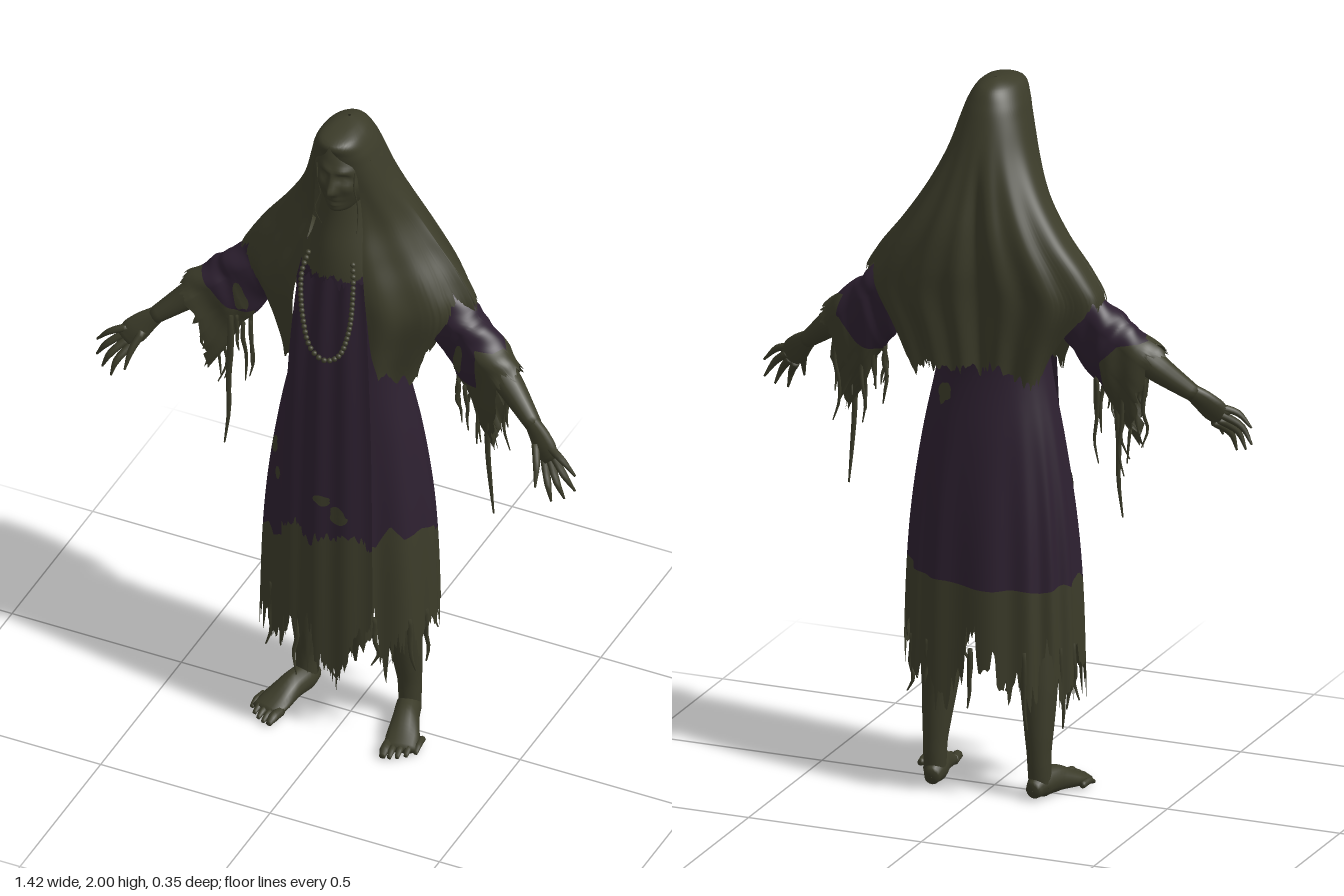
import * as THREE from 'three';

const mat = (name, color) => {
  const m = new THREE.MeshStandardMaterial({ color, side: THREE.DoubleSide });
  m.name = name;
  return m;
};
const V = (x, y, z) => new THREE.Vector3(x, y, z);
const { lerp, smoothstep } = THREE.MathUtils;

// Repeatable noise in -1..1
const hash = n => { const s = Math.sin(n * 127.1 + 11.7) * 43758.5453; return (s - Math.floor(s)) * 2 - 1; };
const noise = x => { const i = Math.floor(x); return lerp(hash(i), hash(i + 1), x - i); };
// Ragged edge: broad tatters with fine teeth
const ragged = x => 0.5 * noise(x) + 0.3 * noise(x * 3.1 + 40) + 0.3 * noise(x * 9.7 + 90);

// Smooth lookup in rows of [key, values...] sorted by falling key
function look(table, key, c) {
  const n = table.length - 1;
  const slope = i => {
    const a = table[Math.max(i - 1, 0)], b = table[Math.min(i + 1, n)];
    return (b[c] - a[c]) / (b[0] - a[0]);
  };
  let i = 0;
  while (i < n - 1 && key < table[i + 1][0]) i++;
  const a = table[i], b = table[i + 1], h = b[0] - a[0];
  const t = Math.min(1, Math.max(0, (key - a[0]) / h)), t2 = t * t, t3 = t2 * t;
  return (2 * t3 - 3 * t2 + 1) * a[c] + (t3 - 2 * t2 + t) * h * slope(i)
    + (3 * t2 - 2 * t3) * b[c] + (t3 - t2) * h * slope(i + 1);
}

// Surface from f(u, v), optionally joined around u
function grid(f, nu, nv, closed = false) {
  const cols = closed ? nu : nu + 1, pos = [], idx = [];
  for (let j = 0; j <= nv; j++)
    for (let i = 0; i < cols; i++) pos.push(...f(i / nu, j / nv).toArray());
  for (let j = 0; j < nv; j++)
    for (let i = 0; i < nu; i++) {
      const k = (i + 1) % cols, a = j * cols + i, b = j * cols + k, c = a + cols, d = b + cols;
      idx.push(a, c, b, b, c, d);
    }
  const g = new THREE.BufferGeometry();
  g.setAttribute('position', new THREE.Float32BufferAttribute(pos, 3));
  g.setIndex(idx);
  g.computeVertexNormals();
  return g;
}

// Limb swept along points, each with [sideRadius, upRadius], closed at the ends
function sweep(points, radii, sides = 12, rows = 16, ref = V(0, 0, 1)) {
  const curve = new THREE.CatmullRomCurve3(points), n = points.length - 1;
  return grid((u, v) => {
    const t = Math.min(1, Math.max(0, (v * (rows + 2) - 1) / rows));
    const k = Math.min(n - 1, Math.floor(t * n)), f = t * n - k;
    const cap = v === 0 || v === 1 ? 0.05 : 1;
    const ra = lerp(radii[k][0], radii[k + 1][0], f) * cap, rb = lerp(radii[k][1], radii[k + 1][1], f) * cap;
    const tan = curve.getTangent(t), side = V().crossVectors(ref, tan).normalize();
    const up = V().crossVectors(tan, side), a = u * Math.PI * 2;
    return curve.getPoint(t).addScaledVector(side, Math.cos(a) * ra).addScaledVector(up, Math.sin(a) * rb);
  }, sides, rows + 2, true);
}

// y, half width, front z, back z
const BODY = [[1.8, .062, .07, -.06], [1.7, .078, .088, -.07], [1.6, .102, .115, -.1], [1.5, .14, .125, -.12],
  [1.3, .145, .12, -.11], [1.2, .155, .11, -.105], [1, .195, .118, -.13], [.8, .222, .132, -.15],
  [.6, .235, .142, -.16], [.2, .245, .155, -.17]];
// y, half width, front z, back z, half opening
const VEIL = [[2, .004, .012, .004, 0], [1.994, .03, .075, -.02, 0], [1.978, .056, .128, -.05, 0], [1.94, .077, .125, -.075, .02],
  [1.9, .09, .115, -.092, .056], [1.8, .122, .098, -.125, .066], [1.7, .17, .1, -.152, .074], [1.6, .235, .13, -.172, .086],
  [1.5, .31, .145, -.176, .1], [1.42, .345, .145, -.168, .108], [1.3, .285, .14, -.156, .115], [1.2, .25, .13, -.146, .125],
  [1, .24, .125, -.135, .13]];

function bodyPoint(a, y, off = 0) {
  const w = look(BODY, y, 1), zf = look(BODY, y, 2), zb = look(BODY, y, 3), c = Math.cos(a);
  const low = 1 - smoothstep(y, 0.5, 1.2), fold = off + 0.006 * low * Math.sin(a * 14 + 2 * Math.sin(a * 3));
  const deep = Math.sign(c) * Math.pow(Math.abs(c), lerp(1, c > 0 ? 0.72 : 0.95, low));
  return V(Math.sin(a) * (w + fold), y, (zf + zb) / 2 + deep * ((zf - zb) / 2 + fold));
}

function veilPoint(s, v) {
  // The hem rises over the arms and hangs low in front and behind
  const side = Math.abs(Math.sin(lerp(0.42, Math.PI * 2 - 0.42, s)));
  const hem = 1.2 + 0.24 * smoothstep(side, 0.72, 0.93) + 0.065 * ragged(s * 26);
  const y = 2 - (2 - hem) * Math.pow(v, 1.6);
  const w = look(VEIL, y, 1), zf = look(VEIL, y, 2), zb = look(VEIL, y, 3);
  const open = Math.asin(Math.min(0.95, Math.max(0, look(VEIL, y, 4)) / w));
  const a = lerp(open, Math.PI * 2 - open, s), c = Math.cos(a), low = 1 - smoothstep(y, 1.55, 1.85);
  const crease = c < 0 ? 0.03 * low * Math.exp(-((Math.sin(a) / 0.13) ** 2)) : 0;
  const fold = 0.008 * (1 - smoothstep(y, 1.3, 1.9)) * Math.sin(a * 13 + 2.5 * Math.sin(a * 2)) - crease;
  const deep = Math.sign(c) * Math.pow(Math.abs(c), c > 0 ? lerp(0.7, 1.9, low) : 0.92);
  const zc = (zf + zb) / 2 - 0.03 * low * Math.sin(a) ** 2;
  return V(Math.sin(a) * (w + fold), y, zc + deep * ((zf - zb) / 2 + fold));
}

// Panel hanging free down the front
const PANEL = [[1.56, .095, .127], [1.3, .115, .15], [1, .128, .162], [.6, .135, .171], [.1, .14, .175]];
const panelPoint = (u, y, off = 0) => {
  const x = (u * 2 - 1) * look(PANEL, y, 1);
  return V(x, y, look(PANEL, y, 2) - x * x * 1.2 + 0.003 * Math.sin(u * 19) + off);
};

function headGeometry() {
  const g = new THREE.SphereGeometry(1, 56, 56), p = g.attributes.position;
  const bump = (x, y, cx, cy, rx, ry) => Math.exp(-(((x - cx) / rx) ** 2) - ((y - cy) / ry) ** 2);
  for (let i = 0; i < p.count; i++) {
    let x = p.getX(i) * 0.076, z = p.getZ(i) * 0.09 + 0.027;
    const y = p.getY(i) * 0.116 + 1.836, ax = Math.abs(x);
    x *= 1 - 0.12 * smoothstep(1.85 - y, 0.02, 0.12);
    if (p.getZ(i) > 0) z += 0.024 * bump(x, y, 0, 1.82, .012, .016) + 0.012 * bump(x, y, 0, 1.845, .009, .025)
      - 0.014 * bump(ax, y, .028, 1.858, .017, .012) + 0.007 * bump(ax, y, .028, 1.856, .01, .007)
      + 0.007 * bump(ax, y, .024, 1.88, .022, .01) + 0.005 * bump(ax, y, .042, 1.828, .018, .016)
      + 0.007 * bump(x, y, 0, 1.79, .022, .008) + 0.007 * bump(x, y, 0, 1.775, .02, .007)
      - 0.003 * bump(x, y, 0, 1.782, .022, .003) + 0.022 * bump(x, y, 0, 1.75, .036, .024);
    p.setXYZ(i, x, y, z);
  }
  g.computeVertexNormals();
  return g;
}

export function createModel() {
  const olive = mat('mouldy olive', 0x3b3b29), purple = mat('faded purple', 0x2d2030);
  const root = new THREE.Group();
  root.name = 'veiledFigure';
  const add = (name, geo, m, parent = root) => {
    const mesh = new THREE.Mesh(geo, m);
    mesh.name = name;
    parent.add(mesh);
  };
  // Thin hanging thread
  const thread = (name, x, y, z, end, r, seed) => add(name, sweep([0, 1, 2, 3, 4].map(i =>
    V(x + 0.012 * hash(seed + i) * i / 3, lerp(y, end, i / 4), z + 0.008 * hash(seed + i + 50) * i / 3)),
  [[r, r], [r * 1.3, r], [r, r * .7], [r * .8, r * .6], [r * .3, r * .3]], 5, 10), olive);

  // Head, neck and veil
  add('head', headGeometry(), olive);
  add('neckAndBib', grid((u, v) => bodyPoint(u * 2 * Math.PI, lerp(1.8, 1.5, v)), 48, 14, true), olive);
  add('veil', grid(veilPoint, 260, 56), olive);
  for (const s of [1, -1]) thread('hairStrand', s * .056, 1.88, .092, 1.68, .002, 7 + s);

  // Dress: purple above a stained, torn olive skirt edge
  const top = a => 1.535 + 0.03 * ragged(a * 6);
  const stain = a => 0.61 + 0.18 * Math.max(0, Math.sin(a)) * Math.pow(0.5 + 0.5 * Math.cos(a), 1.5)
    + 0.035 * noise(a * 5) * (0.6 + 0.4 * Math.cos(a));
  const hem = a => 0.345 + 0.19 * ragged(a * 7) + 0.12 * Math.exp(-(((a - Math.PI) / .12) ** 2));
  const ring = (from, to, off = 0) => grid((u, v) => {
    const a = u * Math.PI * 2;
    return bodyPoint(a, lerp(from(a), to(a), v), off);
  }, 240, 24, true);
  add('dress', ring(top, stain, .003), purple);
  add('dressHem', ring(stain, hem, .003), olive);
  for (let i = 0; i < 12; i++) {
    const a = i * 0.524 + 0.15 * hash(i), p = bodyPoint(a, 0.4);
    thread('hemThread', p.x, 0.44, p.z, 0.24 + 0.06 * hash(i + 9), .007, i * 5);
  }

  // Front panel
  const pTop = u => 1.525 + 0.035 * ragged(u * 8);
  const pStain = u => 0.695 + 0.06 * ragged(u * 6 + 3);
  const pHem = u => 0.37 - 0.17 * Math.exp(-(((u - .62) / .17) ** 2)) + 0.15 * ragged(u * 9 + 5);
  const strip = (from, to) => grid((u, v) => panelPoint(u, lerp(from(u), to(u), v)), 80, 24);
  add('frontPanel', strip(pTop, pStain), purple);
  add('frontPanelHem', strip(pStain, pHem), olive);

  // Mould patches
  const patch = (f, cu, cy, ru, ry) => add('mouldPatch', grid((u, v) => {
    const a = u * Math.PI * 2, r = v * (1 + 0.3 * noise(u * 9 + cu * 7));
    return f(cu + Math.cos(a) * r * ru, cy + Math.sin(a) * r * ry);
  }, 18, 3), olive);
  const onPanel = (u, y) => panelPoint(u, y, .003), onBody = (a, y) => bodyPoint(a, y, .007);
  patch(onPanel, .48, .82, .08, .016);
  patch(onPanel, .66, .78, .09, .025);
  patch(onBody, -1.1, .88, .12, .025);
  patch(onBody, -.85, .81, .08, .02);
  patch(onBody, 2.5, 1.13, .15, .03);

  // Bead necklace
  const beads = new THREE.Group();
  beads.name = 'necklace';
  root.add(beads);
  const cord = new THREE.CatmullRomCurve3([V(-.066, 1.6, .125), V(-.076, 1.54, .145), V(-.068, 1.4, .154), V(-.04, 1.31, .162),
    V(0, 1.287, .165), V(.04, 1.31, .162), V(.068, 1.4, .154), V(.076, 1.54, .145), V(.066, 1.6, .125)]);
  const bead = new THREE.SphereGeometry(0.0078, 10, 8);
  cord.getSpacedPoints(42).forEach(p => {
    add('bead', bead, olive, beads);
    beads.children.at(-1).position.copy(p);
  });

  for (const s of [1, -1]) {
    const P = list => list.map(([x, y, z]) => V(s * x, y, z));
    const R = (...r) => r.map(q => [].concat(q, q).slice(0, 2));

    // Arm and hand
    const armPts = P([[.14, 1.54, -.03], [.28, 1.41, -.045], [.38, 1.322, -.03], [.47, 1.245, 0], [.56, 1.17, .042]]);
    const arm = new THREE.CatmullRomCurve3(armPts);
    add('arm', sweep(armPts, R(.055, .048, .042, .038, .023), 16, 28), olive);
    add('palm', sweep(P([[.545, 1.183, .036], [.58, 1.152, .053], [.605, 1.125, .067], [.63, 1.098, .078]]),
      R([.021, .018], [.032, .017], [.038, .016], [.03, .011]), 14, 10), olive);
    [[[.622, 1.132], [.668, 1.115, .088], [.706, 1.078, .09]], [[.63, 1.112], [.676, 1.075, .096], [.706, 1.03, .092]],
      [[.622, 1.097], [.66, 1.055, .108], [.682, 1.008, .108]], [[.606, 1.088], [.637, 1.045, .115], [.65, .998, .122]],
      [[.58, 1.13], [.598, 1.085, .105], [.606, 1.035, .13]]].forEach(([a, b, c]) =>
      add('finger', sweep(P([[a[0], a[1], .07], b, c]), R(.012, .0095, .003), 8, 8), olive));

    // Drooping sleeve with ragged cuff
    const sleevePoint = (u, t, sag, out = 0) => {
      const a = u * Math.PI * 2, c = Math.cos(a), p = arm.getPoint(t);
      const r = 0.054 + out + 0.004 * noise(t * 22 + s) + 0.003 * Math.sin(t * 30 + a * 3);
      p.x += s * c * r * 0.7;
      p.y += c * r * 0.7 - Math.max(0, -c) * (0.065 + 0.15 * Math.pow(t, 1.5) + sag);
      p.z += Math.sin(a) * r;
      return p;
    };
    const mid = u => 0.53 + 0.08 * noise(u * 9 + s) - 0.1 * Math.max(0, -Math.cos(u * 2 * Math.PI));
    const cuff = u => 0.7 + 0.08 * ragged(u * 14 + s * 3);
    add('sleeve', grid((u, v) => sleevePoint(u, lerp(.16, mid(u), v), 0), 80, 30, true), purple);
    add('sleeveCuff', grid((u, v) => sleevePoint(u, lerp(mid(u), cuff(u), v), v * (0.02 + 0.09 * ragged(u * 19 + s))), 80, 14, true), olive);
    patch((u, t) => sleevePoint(u, t, 0, .006), .33, .4, .05, .035);
    for (let i = 0; i < 12; i++) {
      const x = 0.29 + i * 0.0145, long = i === (s > 0 ? 8 : 4);
      thread('sleeveThread', s * x, 1.22, -.02 + 0.05 * hash(i + s * 20),
        long ? 0.8 : 1.02 + 0.09 * hash(i * 3 + s), long ? .008 : .0055, i * 11 + s * 3);
    }

    // Leg, foot and toes
    add('leg', sweep(P([[.1, .9, 0], [.125, .55, -.01], [.142, .3, -.032], [.15, .13, -.05], [.152, .035, -.048]]),
      R(.08, .065, .05, .033, .03), 18, 26), olive);
    add('foot', sweep(P([[.146, .03, -.085], [.152, .042, -.045], [.168, .042, .01], [.187, .026, .07], [.2, .016, .115]]),
      R([.02, .022], [.034, .04], [.036, .038], [.046, .024], [.044, .013]), 16, 18, V(0, 1, 0)), olive);
    for (let i = 0; i < 5; i++) {
      const x = 0.165 + i * 0.0185, z = 0.158 - i * i * 0.0032, r = i ? .0095 : .014;
      add('toe', sweep(P([[x - .005, .018, z - .06], [x, .02, z - .022], [x + .003, .011, z]]), R(r, r, r * .6), 8, 8, V(0, 1, 0)), olive);
    }
  }
  return root;
}
